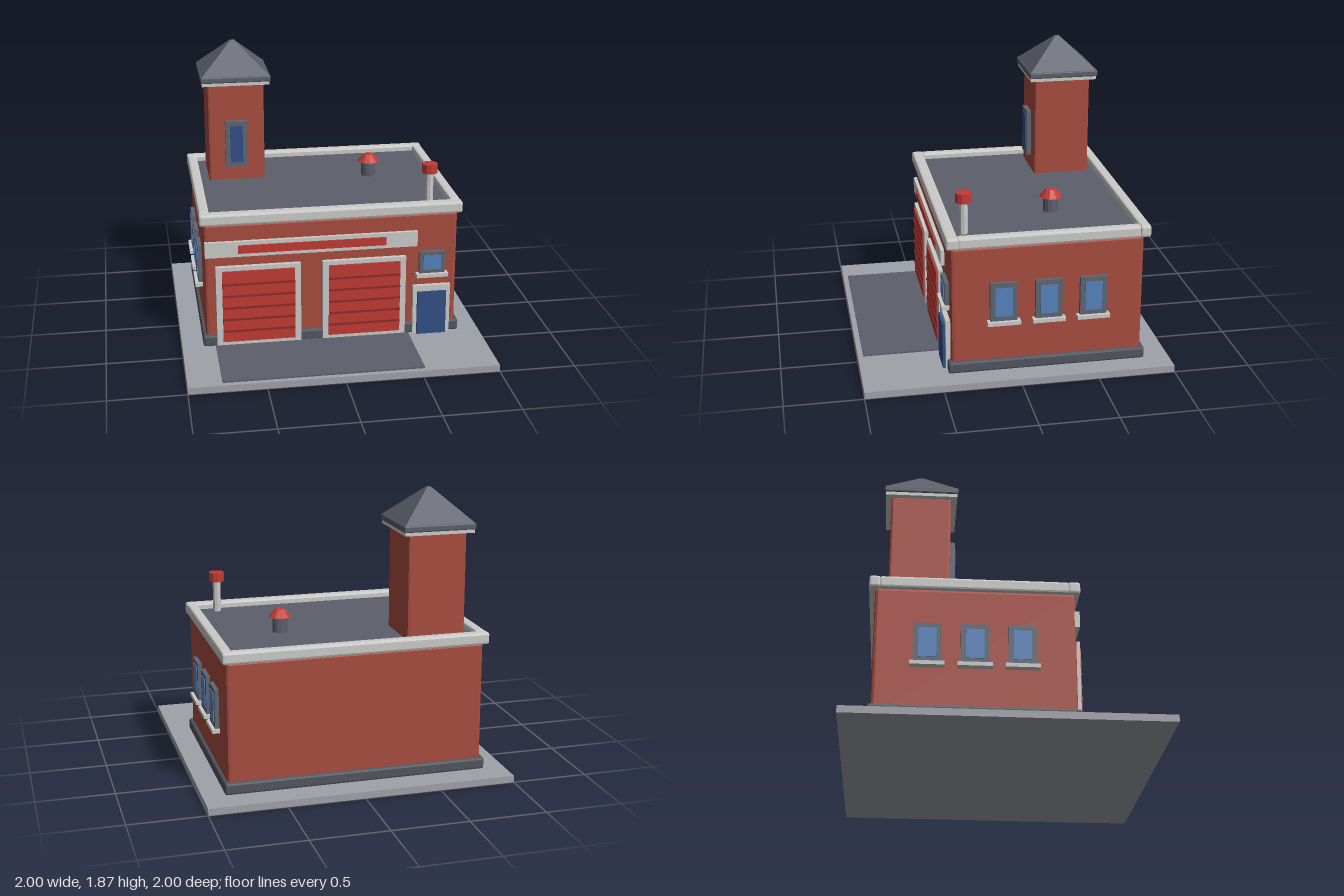
import * as THREE from 'three';
import { RoundedBoxGeometry } from 'three/addons/geometries/RoundedBoxGeometry.js';

const paint = (name, color) => {
  const m = new THREE.MeshStandardMaterial({ color });
  m.name = name;
  return m;
};

export function createModel() {
  const brick = paint('brick', 0xa84c3f);
  const slate = paint('slate', 0x5c5f6b);
  const plinthGrey = paint('plinth grey', 0x52555f);
  const paving = paint('paving', 0xa0a2a9);
  const trim = paint('pale trim', 0xcbcbc9);
  const red = paint('signal red', 0xc23a35);
  const darkRed = paint('dark red', 0x8c2c2a);
  const frameGrey = paint('frame grey', 0x5e6672);
  const glass = paint('glass', 0x5682be);
  const navy = paint('navy', 0x324f86);

  const model = new THREE.Group();
  model.name = 'fireStation';

  const add = (parent, name, geometry, material, x = 0, y = 0, z = 0) => {
    const mesh = new THREE.Mesh(geometry, material);
    mesh.name = name;
    mesh.position.set(x, y, z);
    parent.add(mesh);
    return mesh;
  };

  // Box given by its extents; bevel > 0 chamfers the edges
  const box = (parent, name, mat, [x0, x1], [y0, y1], [z0, z1], bevel = 0) => {
    const size = [x1 - x0, y1 - y0, z1 - z0];
    const geo = bevel ? new RoundedBoxGeometry(...size, 1, bevel) : new THREE.BoxGeometry(...size);
    if (bevel) geo.computeVertexNormals(); // flat chamfers
    return add(parent, name, geo, mat, (x0 + x1) / 2, (y0 + y1) / 2, (z0 + z1) / 2);
  };

  const drum = (parent, name, mat, rTop, rBottom, y0, y1, sides, x, z) => {
    const geo = new THREE.CylinderGeometry(rTop, rBottom, y1 - y0, sides).toNonIndexed();
    geo.computeVertexNormals();
    return add(parent, name, geo, mat, x, (y0 + y1) / 2, z);
  };

  // Window facing +z, standing on y = 0 at its local origin
  const makeWindow = (name, w, h, border, depth, pane, sillW) => {
    const g = new THREE.Group();
    g.name = name;
    box(g, 'frame', frameGrey, [-w / 2, w / 2], [0, h], [-0.01, depth]);
    box(g, 'pane', pane, [-w / 2 + border, w / 2 - border], [border, h - border], [depth, depth + 0.005]);
    if (sillW) box(g, 'sill', trim, [-sillW / 2, sillW / 2], [-0.025, 0], [-0.01, depth + 0.022]);
    model.add(g);
    return g;
  };

  // Ground
  box(model, 'pavement', paving, [-1, 1], [0, 0.045], [-1, 1]);
  box(model, 'driveway', slate, [-0.78, 0.515], [0.045, 0.054], [0.4, 0.965]);

  // Main building
  box(model, 'walls', brick, [-0.838, 0.838], [0.04, 0.9], [-0.812, 0.428], 0.02);
  box(model, 'plinth', plinthGrey, [-0.86, 0.86], [0.045, 0.123], [-0.835, 0.45], 0.014);
  box(model, 'roof', slate, [-0.81, 0.81], [0.885, 0.93], [-0.79, 0.39]);

  // Parapet
  const rim = [0.895, 0.972];
  box(model, 'frontParapet', trim, [-0.865, 0.865], rim, [0.38, 0.458], 0.014);
  box(model, 'backParapet', trim, [-0.865, 0.865], rim, [-0.85, -0.78], 0.014);
  box(model, 'leftParapet', trim, [0.795, 0.862], rim, [-0.785, 0.388], 0.014);
  box(model, 'rightParapet', trim, [-0.862, -0.795], rim, [-0.785, 0.388], 0.014);

  // Tower with pyramid roof
  const tower = new THREE.Group();
  tower.name = 'tower';
  tower.position.set(-0.542, 0, -0.542);
  model.add(tower);
  const centred = (half) => [-half, half];
  box(tower, 'shaft', brick, centred(0.193), [0.9, 1.618], centred(0.193), 0.014);
  box(tower, 'cornice', trim, centred(0.23), [1.608, 1.635], centred(0.23));
  box(tower, 'eaves', slate, centred(0.238), [1.63, 1.672], centred(0.238), 0.008);
  const cap = drum(tower, 'pyramidRoof', slate, 0.018, 0.232 * Math.SQRT2, 1.67, 1.874, 4, 0, 0);
  cap.rotation.y = Math.PI / 4;
  makeWindow('towerWindow', 0.152, 0.325, 0.033, 0.032, navy, 0).position.set(-0.545, 1.03, -0.349);

  // Sign band
  box(model, 'signBoard', trim, [-0.835, 0.567], [0.675, 0.78], [0.42, 0.452]);
  box(model, 'signStripe', red, [-0.62, 0.355], [0.7, 0.755], [0.45, 0.462]);

  // Garage doors with dark slat joints
  for (const x of [-0.49, 0.212]) {
    const door = new THREE.Group();
    door.name = 'garageDoor';
    door.position.x = x;
    model.add(door);
    box(door, 'surround', trim, centred(0.279), [0.05, 0.608], [0.42, 0.458]);
    box(door, 'panel', red, centred(0.239), [0.08, 0.58], [0.45, 0.468]);
    for (let i = 0; i < 5; i++) {
      const y = 0.157 + i * 0.083;
      box(door, 'slatJoint', darkRed, centred(0.239), [y - 0.007, y + 0.007], [0.466, 0.474]);
    }
  }

  // Entrance door and the window above it
  box(model, 'entranceSurround', trim, [0.543, 0.795], [0.045, 0.39], [0.42, 0.458]);
  box(model, 'entranceDoor', navy, [0.57, 0.766], [0.045, 0.35], [0.45, 0.474]);
  makeWindow('entranceWindow', 0.172, 0.152, 0.027, 0.028, glass, 0.213).position.set(0.668, 0.48, 0.428);

  // Three windows on each side wall
  for (const side of [-1, 1]) {
    for (const z of [0.095, -0.195, -0.484]) {
      const w = makeWindow('sideWindow', 0.174, 0.258, 0.032, 0.028, glass, 0.212);
      w.position.set(side * 0.838, 0.396, z);
      w.rotation.y = side * Math.PI / 2;
    }
  }

  // Roof vent
  drum(model, 'ventPipe', slate, 0.05, 0.05, 0.92, 1.035, 12, 0.375, -0.305);
  drum(model, 'ventHood', red, 0.03, 0.075, 1.03, 1.082, 10, 0.375, -0.305);

  // Siren on a post
  drum(model, 'sirenPost', trim, 0.027, 0.027, 0.92, 1.145, 8, 0.667, 0.317);
  drum(model, 'siren', red, 0.052, 0.052, 1.14, 1.202, 10, 0.667, 0.317);

  return model;
}
